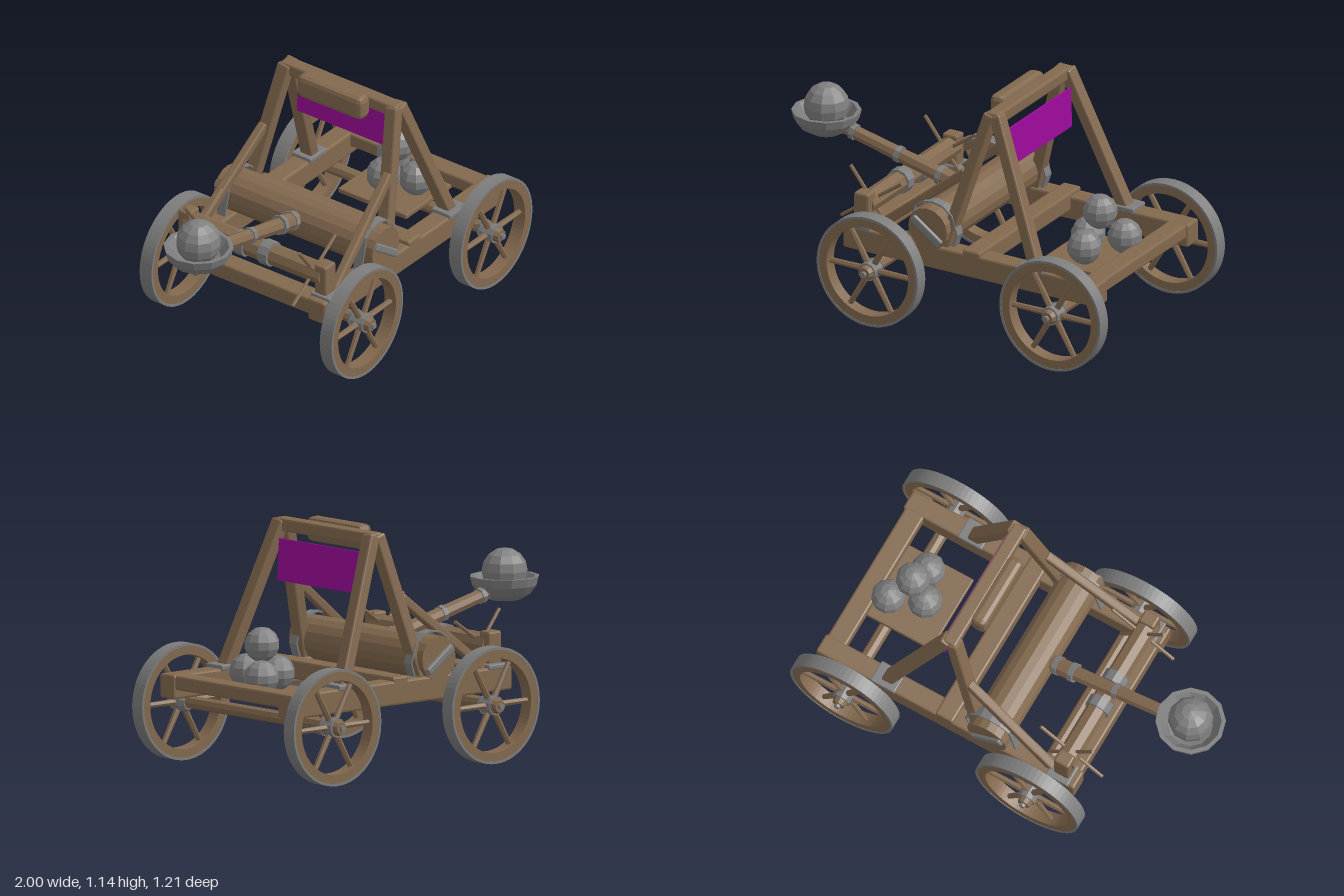
import * as THREE from 'three';
import { RoundedBoxGeometry } from 'three/addons/geometries/RoundedBoxGeometry.js';

export function createModel() {
  const root = new THREE.Group();
  const mat = (name, color) => Object.assign(new THREE.MeshStandardMaterial({ color, flatShading: true }), { name });
  const wood = mat('wood', 0x83694f);
  const iron = mat('iron', 0x7d7d7d);
  const stone = mat('stone', 0x808080);
  const cloth = mat('cloth', 0xa00a9e);
  cloth.side = THREE.DoubleSide;
  iron.side = THREE.DoubleSide;
  const V = (x, y, z) => new THREE.Vector3(x, y, z);
  const UP = V(0, 1, 0);

  function add(name, geo, material, x = 0, y = 0, z = 0, parent = root) {
    const m = new THREE.Mesh(geo, material);
    m.name = name;
    m.position.set(x, y, z);
    parent.add(m);
    return m;
  }
  // chamfered block given by its limits
  function block(name, material, x0, x1, y0, y1, z0, z1, r = 0.01) {
    return add(name, new RoundedBoxGeometry(x1 - x0, y1 - y0, z1 - z0, 1, r), material,
      (x0 + x1) / 2, (y0 + y1) / 2, (z0 + z1) / 2);
  }
  // geometry with its length on y, laid between two points
  function span(name, material, a, b, makeGeo, parent = root) {
    const d = b.clone().sub(a);
    const mid = a.clone().add(b).multiplyScalar(0.5);
    const m = add(name, makeGeo(d.length()), material, mid.x, mid.y, mid.z, parent);
    m.quaternion.setFromUnitVectors(UP, d.normalize());
    return m;
  }
  const timber = (w, d) => (len) => new RoundedBoxGeometry(w, len, d, 1, 0.009);
  const rod = (r, n = 8, r2 = r) => (len) => new THREE.CylinderGeometry(r2, r, len, n);
  const zRod = (name, material, x, y, z0, z1, r, n = 8, r2 = r, parent = root) =>
    span(name, material, V(x, y, z0), V(x, y, z1), rod(r, n, r2), parent);

  // flat ring with a hole, extruded along z and centred
  function ring(outer, inner, depth, n) {
    const s = new THREE.Shape().absarc(0, 0, outer, 0, Math.PI * 2, false);
    s.holes.push(new THREE.Path().absarc(0, 0, inner, 0, Math.PI * 2, true));
    return new THREE.ExtrudeGeometry(s, { depth, bevelEnabled: false, curveSegments: n }).translate(0, 0, -depth / 2);
  }

  // wheels and axles
  for (const x of [-0.275, 0.72]) {
    zRod('axle', wood, x, 0.278, -0.49, 0.49, 0.031);
    for (const s of [-1, 1]) {
      const wheel = new THREE.Group();
      wheel.name = 'wheel';
      wheel.position.set(x, 0.275, s * 0.528);
      root.add(wheel);
      add('tyre', ring(0.275, 0.263, 0.07, 32), iron, 0, 0, 0, wheel);
      add('rim', ring(0.2635, 0.222, 0.066, 32), wood, 0, 0, 0, wheel);
      for (let i = 0; i < 6; i++) {
        const a = i * Math.PI / 3;
        span('spoke', wood, V(Math.cos(a) * 0.03, Math.sin(a) * 0.03, 0),
          V(Math.cos(a) * 0.226, Math.sin(a) * 0.226, 0), rod(0.016, 6, 0.013), wheel);
      }
      zRod('hub', iron, 0, 0, s * -0.035, s * 0.038, 0.046, 10, 0.046, wheel);
      zRod('hubCollar', iron, 0, 0, s * -0.058, s * -0.035, 0.036, 10, 0.05, wheel);
      zRod('hubNose', wood, 0, 0, s * 0.038, s * 0.064, 0.038, 10, 0.03, wheel);
      zRod('axlePin', iron, 0, 0, s * 0.06, s * 0.079, 0.015, 8, 0.015, wheel);
    }
  }

  // chassis
  for (const s of [-1, 1]) {
    const z = s * 0.41;
    block('sideBeam', wood, -0.47, 0.915, 0.32, 0.435, z - 0.05, z + 0.05);
  }
  block('frontCrossBeam', wood, 0.805, 0.905, 0.365, 0.433, -0.38, 0.38);
  block('middleCrossBeam', wood, 0.18, 0.275, 0.365, 0.455, -0.46, 0.46);
  block('rearCrossBeam', wood, -0.46, -0.36, 0.34, 0.425, -0.38, 0.38);
  block('stonePlank', wood, 0.46, 0.82, 0.355, 0.38, -0.17, 0.23, 0.005);

  // tower: leaning legs, braces, top beam and padded stop
  for (const s of [-1, 1]) {
    span('frontLeg', wood, V(0.555, 0.43, s * 0.405), V(0.285, 1.11, s * 0.315), timber(0.058, 0.068));
    span('rearLeg', wood, V(0.06, 0.43, s * 0.405), V(0.255, 1.11, s * 0.315), timber(0.058, 0.068));
    span('brace', wood, V(-0.33, 0.43, s * 0.41), V(0.15, 0.81, s * 0.365), timber(0.045, 0.045));
    block('legShoe', iron, 0.49, 0.62, 0.425, 0.452, s * 0.41 - 0.056, s * 0.41 + 0.056, 0.006);
    block('rearShoe', iron, -0.44, -0.32, 0.425, 0.45, s * 0.41 - 0.056, s * 0.41 + 0.056, 0.006);
  }
  block('topBeam', wood, 0.235, 0.305, 1.06, 1.122, -0.34, 0.34);
  block('stopPad', wood, 0.163, 0.243, 1.02, 1.137, -0.19, 0.19, 0.025);

  // banner hung inside the front legs
  const flag = new THREE.Shape([[-0.3, 0.83], [0.3, 0.83], [0.287, 1.03], [-0.287, 1.03]]
    .map(([a, b]) => new THREE.Vector2(a, b)));
  add('banner', new THREE.ExtrudeGeometry(flag, { depth: 0.008, bevelEnabled: false })
    .rotateY(Math.PI / 2), cloth, 0.314, 0, 0);

  // torsion drum with straps and end levers
  zRod('torsionDrum', wood, -0.005, 0.517, -0.465, 0.465, 0.105, 16);
  const path = [[-0.135, 0.44], [-0.1, 0.6], [-0.05, 0.633], [0, 0.64], [0.05, 0.63], [0.1, 0.59], [0.13, 0.5], [0.11, 0.44]];
  for (const s of [-1, 1]) {
    for (let i = 0; i < path.length - 1; i++) {
      span('drumStrap', iron, V(path[i][0], path[i][1], s * 0.4), V(path[i + 1][0], path[i + 1][1], s * 0.4),
        (len) => new THREE.BoxGeometry(0.008, len + 0.004, 0.05));
    }
    span('endLever', iron, V(-0.085, 0.565, s * 0.468), V(0.07, 0.455, s * 0.468), timber(0.04, 0.025));
  }

  // throwing arm with iron bands
  const onArm = (x) => V(x, 0.522 - 0.24 * x, 0);
  span('armRoot', wood, onArm(-0.03), onArm(-0.22), rod(0.044));
  span('arm', wood, onArm(-0.2), onArm(-0.75), rod(0.037, 8, 0.032));
  for (const [x, r] of [[-0.125, 0.049], [-0.21, 0.049], [-0.44, 0.041], [-0.685, 0.04]])
    span('armBand', iron, onArm(x + 0.012), onArm(x - 0.012), rod(r));

  // bucket and its stone
  const bowl = [[0.001, 0.648], [0.075, 0.655], [0.125, 0.685], [0.155, 0.725], [0.165, 0.766], [0.145, 0.766], [0.105, 0.71], [0.001, 0.68]]
    .map(([r, y]) => new THREE.Vector2(r, y));
  add('bucket', new THREE.LatheGeometry(bowl, 12), iron, -0.836, 0, 0);
  add('loadedStone', new THREE.SphereGeometry(0.108, 10, 8), stone, -0.836, 0.79, 0);

  // spare stones
  for (const [x, y, z] of [[0.59, 0.457, 0], [0.75, 0.457, -0.065], [0.655, 0.457, 0.142], [0.668, 0.596, 0.022]])
    add('spareStone', new THREE.SphereGeometry(0.083, 10, 7), stone, x, y, z);

  // winch with posts, bands and crossed handles
  const wx = -0.387, wy = 0.535;
  for (const s of [-1, 1]) {
    block('winchPost', wood, -0.427, -0.347, 0.43, 0.6, s * 0.4 - 0.035, s * 0.4 + 0.035);
    zRod('winchBand', iron, wx, wy, s * 0.045, s * 0.1, 0.062, 10);
    for (const [dx, dy] of [[0.165, 0.115], [-0.115, 0.15]])
      span('winchHandle', wood, V(wx - dx, wy - dy, s * 0.335), V(wx + dx, wy + dy, s * 0.335), rod(0.009, 6));
  }
  zRod('winchDrum', wood, wx, wy, -0.4, 0.4, 0.052, 8);

  return root;
}
